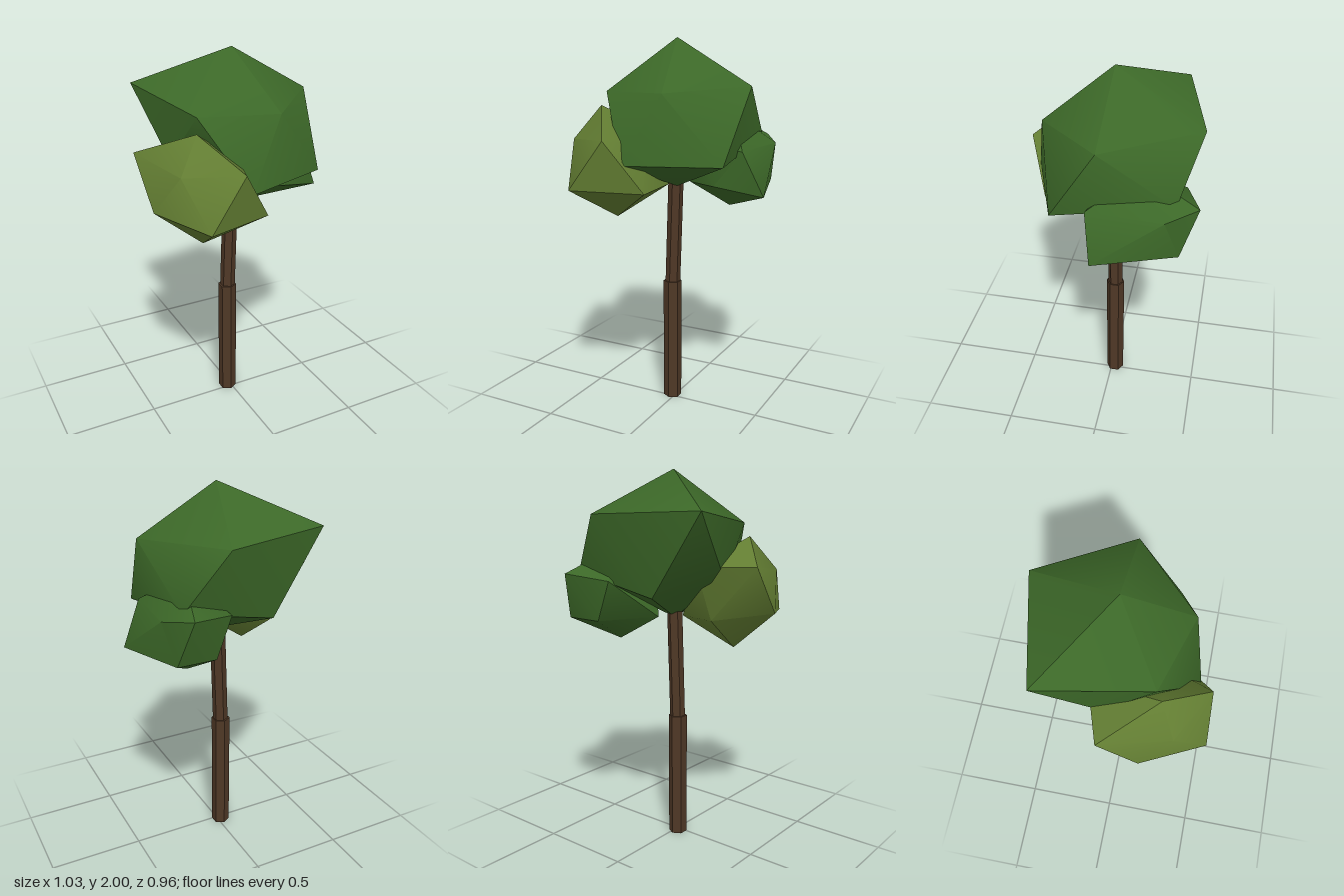
import * as THREE from 'three';
import { ConvexGeometry } from 'three/addons/geometries/ConvexGeometry.js';
import { toCreasedNormals } from 'three/addons/utils/BufferGeometryUtils.js';

const material = (name, color) => {
  const m = new THREE.MeshStandardMaterial({ color });
  m.name = name;
  return m;
};

// Faceted leaf clump: the hull of a top, two uneven rings of five and a bottom
function clump(name, mat, corners, crease) {
  const hull = new ConvexGeometry(corners.map((c) => new THREE.Vector3(...c)));
  const mesh = new THREE.Mesh(toCreasedNormals(hull, crease), mat);
  mesh.name = name;
  return mesh;
}

// Six-sided trunk piece between two centres
function trunkPiece(name, mat, radius, from, to) {
  const geo = new THREE.CylinderGeometry(radius, radius, to[1] - from[1], 6).toNonIndexed();
  const pos = geo.attributes.position;
  const height = to[1] - from[1];
  // shear so the piece leans while its ends stay level
  for (let i = 0; i < pos.count; i++) {
    const t = pos.getY(i) / height + 0.5;
    pos.setXYZ(i,
      pos.getX(i) + from[0] + (to[0] - from[0]) * t,
      from[1] + height * t,
      pos.getZ(i) + from[2] + (to[2] - from[2]) * t);
  }
  geo.computeVertexNormals();
  const mesh = new THREE.Mesh(geo, mat);
  mesh.name = name;
  return mesh;
}

export function createModel() {
  const bark = material('bark brown', 0x4f3826);
  const green = material('leaf green', 0x3c6828);
  const olive = material('olive leaf', 0x647f33);
  const tree = new THREE.Group();
  tree.name = 'tree';

  // Trunk
  tree.add(trunkPiece('lowerTrunk', bark, 0.05, [-0.018, 0, -0.02], [-0.018, 0.69, -0.02]));
  tree.add(trunkPiece('upperTrunk', bark, 0.041, [-0.016, 0.68, -0.02], [0.006, 1.35, -0.02]));

  // Large crown
  tree.add(clump('mainCanopy', green, [
    [0.01, 2.0, -0.02],
    [-0.41, 1.8, -0.34], [0.16, 1.78, -0.47], [0.43, 1.76, -0.01], [0.1, 1.73, 0.32], [-0.285, 1.73, 0.2],
    [0.385, 1.38, 0.23], [-0.09, 1.38, 0.4], [-0.33, 1.46, -0.04], [-0.13, 1.38, -0.36], [0.36, 1.48, -0.37],
    [0.02, 1.23, 0],
  ], 0.78));

  // Small olive clump at the front
  tree.add(clump('frontClump', olive, [
    [-0.3, 1.66, 0.23],
    [-0.52, 1.53, -0.035], [-0.42, 1.49, 0.31], [-0.155, 1.505, 0.455], [-0.06, 1.48, 0.2], [-0.22, 1.52, -0.13],
    [-0.505, 1.28, 0.165], [-0.345, 1.25, 0.478], [0.02, 1.24, 0.355], [-0.02, 1.24, 0.02], [-0.28, 1.25, -0.08],
    [-0.25, 1.07, 0.17],
  ], 0.7));

  // Small green clump at the back
  tree.add(clump('backClump', green, [
    [0.27, 1.6, -0.2],
    [0.35, 1.48, -0.48], [0.45, 1.45, -0.33], [0.41, 1.44, 0.05], [0.1, 1.45, -0.05], [0.12, 1.45, -0.4],
    [0.515, 1.21, 0.01], [0.405, 1.24, -0.4], [0.2, 1.24, -0.4], [0.05, 1.24, -0.1], [0.25, 1.25, 0.04],
    [0.25, 1.115, -0.18],
  ], 0.7));

  return tree;
}
